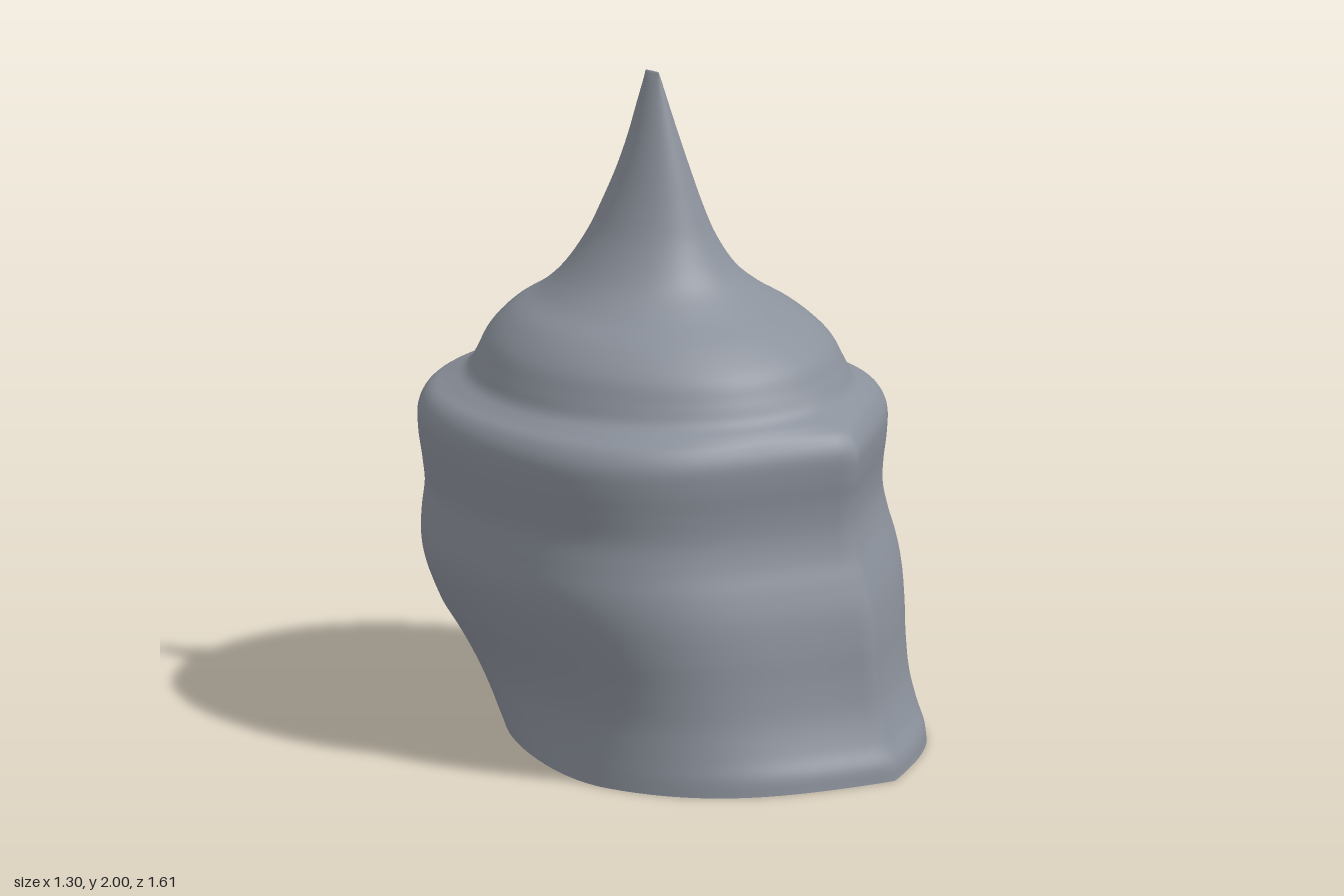
import * as THREE from 'three';

// Cross-sections from hem to tip: height, half width, front z, back z, keel sharpness
const SECTIONS = [
  [0.00, 0.600, 0.808, -0.480, 0.32],
  [0.05, 0.595, 0.803, -0.515, 0.34],
  [0.11, 0.590, 0.775, -0.550, 0.38],
  [0.20, 0.588, 0.748, -0.605, 0.42],
  [0.30, 0.602, 0.736, -0.665, 0.45],
  [0.40, 0.625, 0.730, -0.730, 0.47],
  [0.50, 0.645, 0.715, -0.775, 0.48],
  [0.58, 0.650, 0.690, -0.792, 0.48],
  [0.66, 0.641, 0.660, -0.790, 0.48],
  [0.74, 0.632, 0.645, -0.780, 0.48],
  [0.82, 0.639, 0.647, -0.787, 0.48],
  [0.90, 0.646, 0.660, -0.801, 0.48],
  [0.97, 0.643, 0.663, -0.803, 0.48],
  [1.02, 0.615, 0.635, -0.780, 0.44],
  [1.05, 0.568, 0.585, -0.730, 0.28],
  [1.08, 0.530, 0.520, -0.680, 0.08],
  [1.13, 0.507, 0.482, -0.648, 0.00],
  [1.20, 0.472, 0.440, -0.612, 0.00],
  [1.27, 0.405, 0.350, -0.545, 0.00],
  [1.33, 0.315, 0.245, -0.455, 0.00],
  [1.40, 0.240, 0.150, -0.385, 0.00],
  [1.50, 0.172, 0.087, -0.320, 0.00],
  [1.60, 0.127, 0.047, -0.273, 0.00],
  [1.70, 0.092, 0.012, -0.230, 0.00],
  [1.80, 0.062, -0.023, -0.195, 0.00],
  [1.90, 0.035, -0.057, -0.167, 0.00],
  [1.97, 0.015, -0.080, -0.147, 0.00],
  [2.00, 0.003, -0.090, -0.140, 0.00],
];

const curve = (a, b, c) => new THREE.CatmullRomCurve3(
  SECTIONS.map(s => new THREE.Vector3(s[a], s[b], s[c])), false, 'catmullrom', 0.5);

function shellGeometry(rings, sides) {
  const sizes = curve(0, 1, 2), shape = curve(0, 3, 4);
  const pos = [], idx = [];
  for (let i = 0; i <= rings; i++) {
    const a = sizes.getPoint(i / rings), b = shape.getPoint(i / rings);
    const y = a.x, w = a.y, zf = a.z, zb = b.y, k = Math.max(0, b.z);
    // widest line runs forward near the hem, and at mid depth on the dome
    const body = THREE.MathUtils.lerp(0.13, -0.05, THREE.MathUtils.smoothstep(y, 0, 0.8));
    const zc = THREE.MathUtils.lerp((zf + zb) / 2, body, Math.min(1, k / 0.3));
    for (let j = 0; j < sides; j++) {
      const t = j / sides * Math.PI * 2;
      const u = Math.abs(Math.cos(t)), s = Math.sin(t);
      let z;
      if (s >= 0) {
        z = zc + (zf - zc) * s * (1 - k * u * (1 - u)); // pointed front
      } else {
        const c = 0.08 * k; // slightly fuller back
        z = zc + (zc - zb) * (s + c * Math.sin(3 * t)) / (1 - c);
      }
      // the hem lifts towards the back
      const lift = 0.065 * THREE.MathUtils.smoothstep(-z, -0.2, 0.42) * Math.max(0, 1 - y / 0.4);
      pos.push(w * Math.cos(t), y + lift, z);
    }
  }
  for (let i = 0; i < rings; i++) {
    for (let j = 0; j < sides; j++) {
      const p = i * sides + j, q = i * sides + (j + 1) % sides;
      idx.push(p, p + sides, q, q, p + sides, q + sides);
    }
  }
  // close the tip
  const top = pos.length / 3, last = rings * sides;
  pos.push(0, 2, -0.115);
  for (let j = 0; j < sides; j++) idx.push(last + j, top, last + (j + 1) % sides);

  const g = new THREE.BufferGeometry();
  g.setAttribute('position', new THREE.Float32BufferAttribute(pos, 3));
  g.setIndex(idx);
  g.computeVertexNormals();
  return g;
}

export function createModel() {
  const group = new THREE.Group();
  group.name = 'pointedHood';
  const steel = new THREE.MeshStandardMaterial({ color: 0x8b919b, side: THREE.DoubleSide });
  steel.name = 'steel grey';

  // one open shell: flared hem, keeled face, shoulder roll, dome and spike
  const shell = new THREE.Mesh(shellGeometry(135, 96), steel);
  shell.name = 'hoodShell';
  group.add(shell);
  return group;
}
